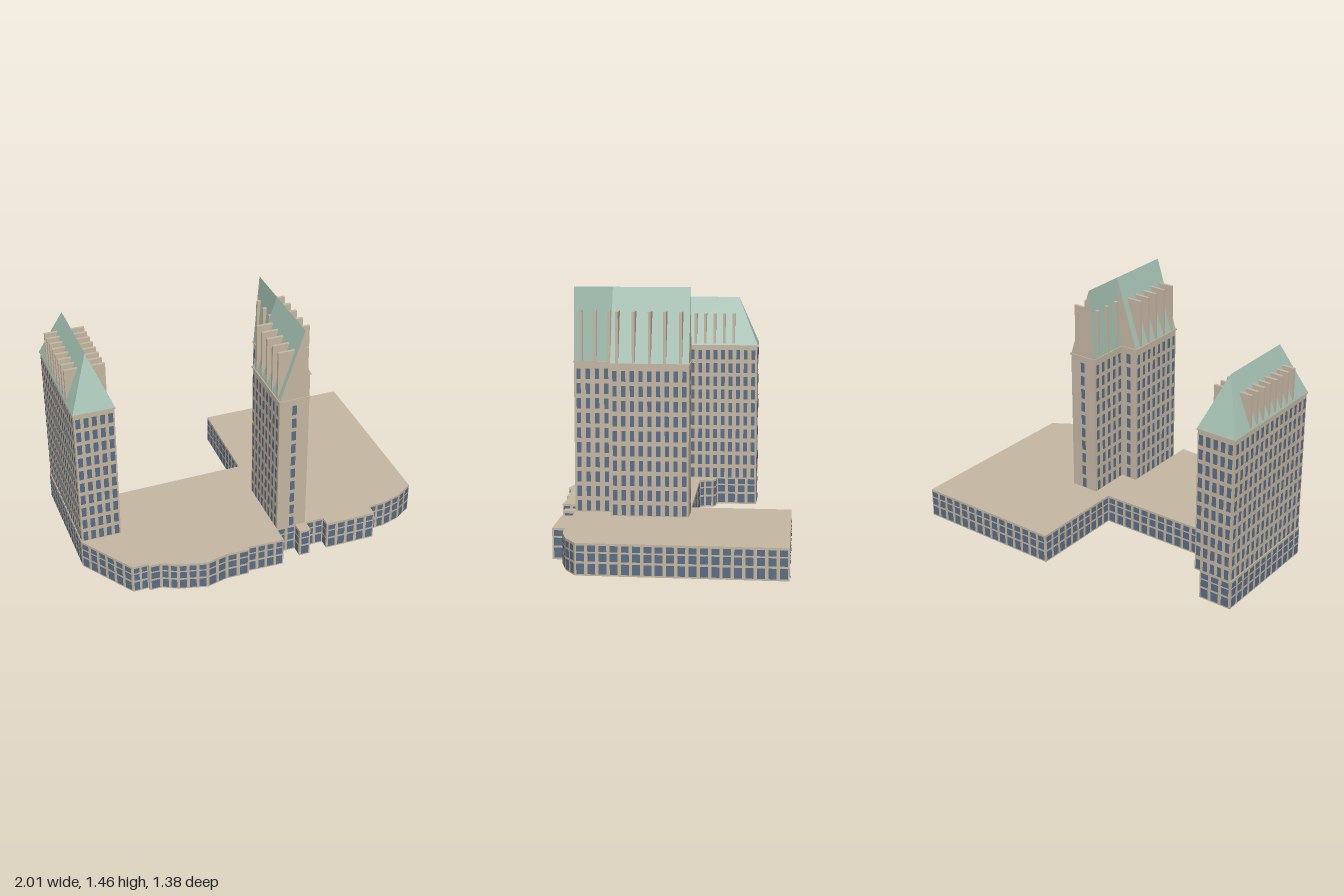
import * as THREE from 'three';
import { mergeGeometries } from 'three/addons/utils/BufferGeometryUtils.js';

const mat = (name, color, side = THREE.FrontSide) => {
  const m = new THREE.MeshStandardMaterial({ color, side });
  m.name = name;
  return m;
};

export function createModel() {
  const stone = mat('warm stone', 0xc4b6a2, THREE.DoubleSide);
  const copper = mat('green copper', 0xa3bfb1);
  const glass = mat('blue glass', 0x5b6c84);
  const root = new THREE.Group();
  root.name = 'twinTowerBuilding';

  const add = (parent, name, geometry, material) => {
    const mesh = new THREE.Mesh(geometry, material);
    mesh.name = name;
    parent.add(mesh);
    return mesh;
  };
  const box = (x0, x1, y0, y1, z0, z1) =>
    new THREE.BoxGeometry(x1 - x0, y1 - y0, z1 - z0)
      .translate((x0 + x1) / 2, (y0 + y1) / 2, (z0 + z1) / 2);

  // Upright panel on the wall from a to b ([x, z]), outside on the right-hand normal
  const panel = ([ax, az], [bx, bz], t, width, y, height, out) => {
    const len = Math.hypot(bx - ax, bz - az);
    const nx = -(bz - az) / len, nz = (bx - ax) / len;
    return new THREE.PlaneGeometry(width, height)
      .rotateY(Math.atan2(nx, nz))
      .translate(ax + (bx - ax) * t + nx * out, y, az + (bz - az) * t + nz * out);
  };
  // Grid of windows on a wall; rows are [centre y, height]
  const windows = (a, b, cols, width, rows) => {
    const list = [];
    for (let i = 0; i < cols; i++)
      for (const [y, h] of rows) list.push(panel(a, b, (i + 0.5) / cols, width, y, h, 0.003));
    return list;
  };

  // Podium: outline walls, flat roof, open underneath
  const H = 0.175;
  const outline = [
    [-1, 0.26], [-0.795, 0.58], [-0.705, 0.58], [-0.705, 0.6], [-0.635, 0.6], [-0.55, 0.645],
    [-0.39, 0.685], [-0.265, 0.655], [-0.13, 0.657], [-0.13, 0.637], [0.085, 0.645], [0.085, 0.54],
    [0.2, 0.54], [0.2, 0.61], [0.265, 0.61], [0.265, 0.54], [0.375, 0.54], [0.375, 0.6],
    [0.675, 0.6], [0.675, 0.53], [0.775, 0.525], [0.89, 0.49], [0.99, 0.425], [1, -0.695],
    [0.105, -0.695], [0.1, -0.115], [-0.675, -0.105], [-0.7, -0.135], [-0.7, -0.185],
    [-0.73, -0.205], [-0.8, -0.205], [-0.8, -0.46], [-1, -0.46],
  ];
  const podiumRows = [[0.147, 0.033], [0.1, 0.043], [0.038, 0.056]];
  const walls = [], panes = [];
  outline.forEach((a, i) => {
    const b = outline[(i + 1) % outline.length];
    const len = Math.hypot(b[0] - a[0], b[1] - a[1]);
    walls.push(panel(a, b, 0.5, len, H / 2, H, 0));
    if (len < 0.03) return;
    const cols = Math.max(1, Math.round(len / 0.06));
    panes.push(...windows(a, b, cols, len / cols * 0.7, podiumRows));
  });
  const podium = new THREE.Group();
  podium.name = 'podium';
  root.add(podium);
  add(podium, 'podiumWalls', mergeGeometries(walls), stone);
  add(podium, 'podiumWindows', mergeGeometries(panes), glass);
  const roofShape = new THREE.Shape(outline.map(([x, z]) => new THREE.Vector2(x, -z)));
  add(podium, 'podiumRoof', new THREE.ShapeGeometry(roofShape).rotateX(-Math.PI / 2).translate(0, H, 0), stone);

  // Tower storeys
  const rows = Array.from({ length: 10 }, (_, i) => [0.211 + i * 0.0845, 0.06]);
  const shaft = (name, x0, x1, z0, z1, top) => {
    const g = new THREE.Group();
    g.name = name;
    root.add(g);
    add(g, 'shaft', box(x0, x1, H - 0.005, top, z0, z1), stone);
    add(g, 'eaves', box(x0 - 0.005, x1 + 0.005, top - 0.006, top + 0.003, z0 - 0.005, z1 + 0.005), stone);
    return g;
  };
  // Upright fins standing on the eaves in front of the roof slope
  const fins = (g, x0, x1, y0, y1, zs) =>
    add(g, 'roofFins', mergeGeometries(zs.map(z => box(x0, x1, y0, y1, z - 0.008, z + 0.008))), stone);

  // Hip-roofed tower
  const hip = shaft('hipTower', -0.995, -0.765, -0.46, 0.26, 1.03);
  add(hip, 'windows', mergeGeometries([
    ...windows([-0.995, 0.26], [-0.765, 0.26], 5, 0.027, rows),
    ...windows([-0.765, -0.46], [-0.995, -0.46], 5, 0.027, rows),
    ...windows([-0.765, 0.26], [-0.765, -0.46], 15, 0.024, rows),
    ...windows([-0.995, -0.46], [-0.995, 0.26], 15, 0.024, rows),
  ]), glass);
  const hipRoof = box(-1, -0.76, 1.03, 1.33, -0.465, 0.265);
  const p = hipRoof.attributes.position;
  for (let i = 0; i < p.count; i++) {
    if (p.getY(i) < 1.2) continue;
    p.setX(i, -0.88);
    p.setZ(i, p.getZ(i) > 0 ? 0.14 : -0.34);
  }
  hipRoof.computeVertexNormals();
  add(hip, 'hipRoof', hipRoof, copper);
  const hipFins = Array.from({ length: 8 }, (_, i) => -0.31 + i * 0.06);
  fins(hip, -0.995, -0.915, 1.03, 1.23, hipFins);
  fins(hip, -0.845, -0.765, 1.03, 1.23, hipFins);

  // Two offset slabs sharing one ridge, with stone gables
  const gabled = (name, x0, x1, z0, z1, zs) => {
    const g = shaft(name, x0, x1, z0, z1, 1.04);
    const ridge = 0.223;
    const gable = new THREE.Shape([[x0, 1.04], [x1, 1.04], [ridge, 1.46]].map(q => new THREE.Vector2(...q)));
    add(g, 'gableRoof', new THREE.ExtrudeGeometry(gable, { depth: z1 - z0, bevelEnabled: false })
      .translate(0, 0, z0), [stone, copper]);
    fins(g, x0, x0 + (ridge - x0) * 0.69, 1.04, 1.33, zs);
    fins(g, x1 - (x1 - ridge) * 0.69, x1, 1.04, 1.33, zs);
    return g;
  };
  const front = gabled('frontSlab', 0.085, 0.26, 0.14, 0.54, [0.19, 0.265, 0.34, 0.42, 0.5]);
  add(front, 'windows', mergeGeometries([
    ...windows([0.085, 0.54], [0.26, 0.54], 1, 0.027, rows),
    ...windows([0.19, 0.14], [0.085, 0.14], 1, 0.027, rows),
    ...windows([0.26, 0.54], [0.26, 0.33], 4, 0.024, rows),
    ...windows([0.085, 0.14], [0.085, 0.54], 8, 0.024, rows),
  ]), glass);
  const back = gabled('backSlab', 0.19, 0.36, -0.12, 0.32, [-0.074, 0.015, 0.1, 0.19, 0.283]);
  add(back, 'windows', mergeGeometries([
    ...windows([0.26, 0.32], [0.36, 0.32], 1, 0.027, rows),
    ...windows([0.36, -0.12], [0.19, -0.12], 1, 0.027, rows),
    ...windows([0.36, 0.32], [0.36, -0.12], 9, 0.024, rows),
    ...windows([0.19, -0.12], [0.19, 0.14], 5, 0.024, rows),
  ]), glass);

  return root;
}
